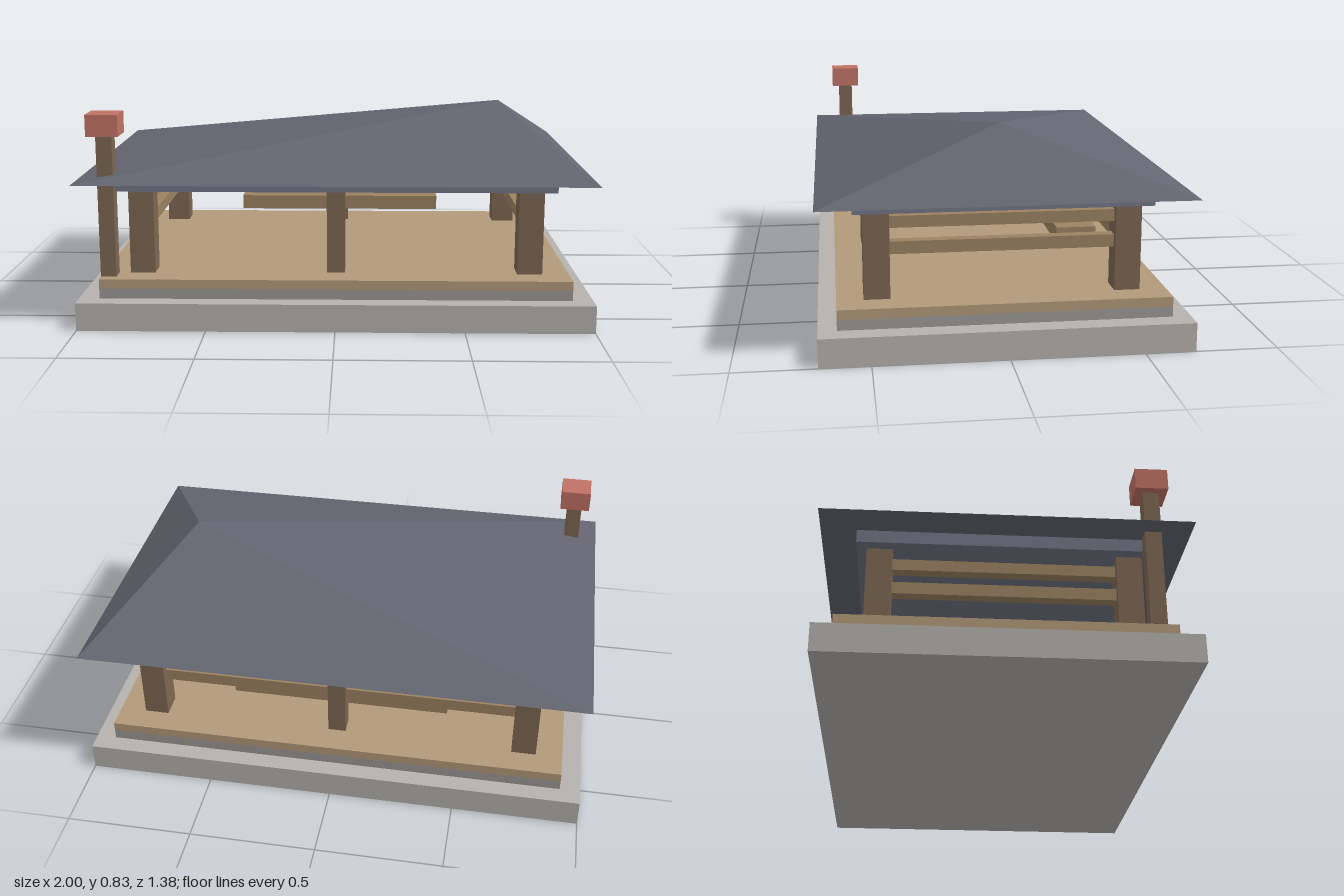
import * as THREE from 'three';

const mat = (color) => new THREE.MeshStandardMaterial({ color, flatShading: true });

export function createModel() {
  const pavilion = new THREE.Group();
  pavilion.name = 'pavilion';

  const concrete = mat(0xb5b2ae);
  const stone = mat(0x9c9a98);
  const plank = mat(0xb3997a);
  const timber = mat(0x7d6752);
  const lightTimber = mat(0x9c8262);
  const fasciaPaint = mat(0x727685);
  const slate = mat(0x636570);
  const brick = mat(0xc17266);

  // Box given by its extents along each axis
  function box(name, material, [x0, x1], [y0, y1], [z0, z1]) {
    const mesh = new THREE.Mesh(new THREE.BoxGeometry(x1 - x0, y1 - y0, z1 - z0), material);
    mesh.position.set((x0 + x1) / 2, (y0 + y1) / 2, (z0 + z1) / 2);
    mesh.name = name;
    pavilion.add(mesh);
    return mesh;
  }
  const around = (c, half) => [c - half, c + half];

  // Stepped base
  box('foundation', concrete, [-1, 1], [0, 0.11], [-0.69, 0.69]);
  box('plinth', stone, [-0.92, 0.92], [0.11, 0.15], [-0.62, 0.62]);
  box('deck', plank, [-0.92, 0.92], [0.15, 0.187], [-0.62, 0.62]);

  // Corner and middle posts, front and back
  const px = 0.765, pz = 0.47, postY = [0.187, 0.522];
  for (const sz of [-1, 1]) {
    for (const sx of [-1, 1]) {
      box('cornerPost', timber, around(sx * px, 0.049), postY, around(sz * pz, 0.049));
    }
    box('middlePost', timber, around(0, 0.036), postY, around(sz * pz, 0.036));
  }

  // Two rails on the back and both sides; the front stays open
  for (const railY of [[0.35, 0.398], [0.45, 0.495]]) {
    box('backRail', lightTimber, around(0, px - 0.045), railY, around(-pz, 0.022));
    for (const sx of [-1, 1]) {
      box('sideRail', lightTimber, around(sx * px, 0.022), railY, around(0, pz - 0.045));
    }
  }

  // Bench along the back
  box('bench', lightTimber, around(0, 0.443), [0.275, 0.336], [-0.43, -0.27]);

  // Roof frame and off-centre pyramid roof
  box('fascia', fasciaPaint, [-0.86, 0.86], [0.522, 0.574], [-0.556, 0.556]);
  const roofGeo = new THREE.ConeGeometry(Math.SQRT2, 0.242, 4).toNonIndexed();
  roofGeo.rotateY(Math.PI / 4).scale(1, 1, 0.69);
  const p = roofGeo.attributes.position;
  for (let i = 0; i < p.count; i++) {
    if (p.getY(i) > 0) p.setX(i, 0.68); // slide the peak to one side
  }
  roofGeo.computeVertexNormals();
  const roof = new THREE.Mesh(roofGeo, slate);
  roof.position.y = 0.572 + 0.121;
  roof.name = 'roof';
  pavilion.add(roof);

  // Chimney stack standing on the deck, with its cap
  box('chimneyStack', timber, around(-0.89, 0.031), [0.187, 0.745], around(0.546, 0.031));
  box('chimneyCap', brick, around(-0.89, 0.062), [0.745, 0.83], around(0.546, 0.062));

  return pavilion;
}
